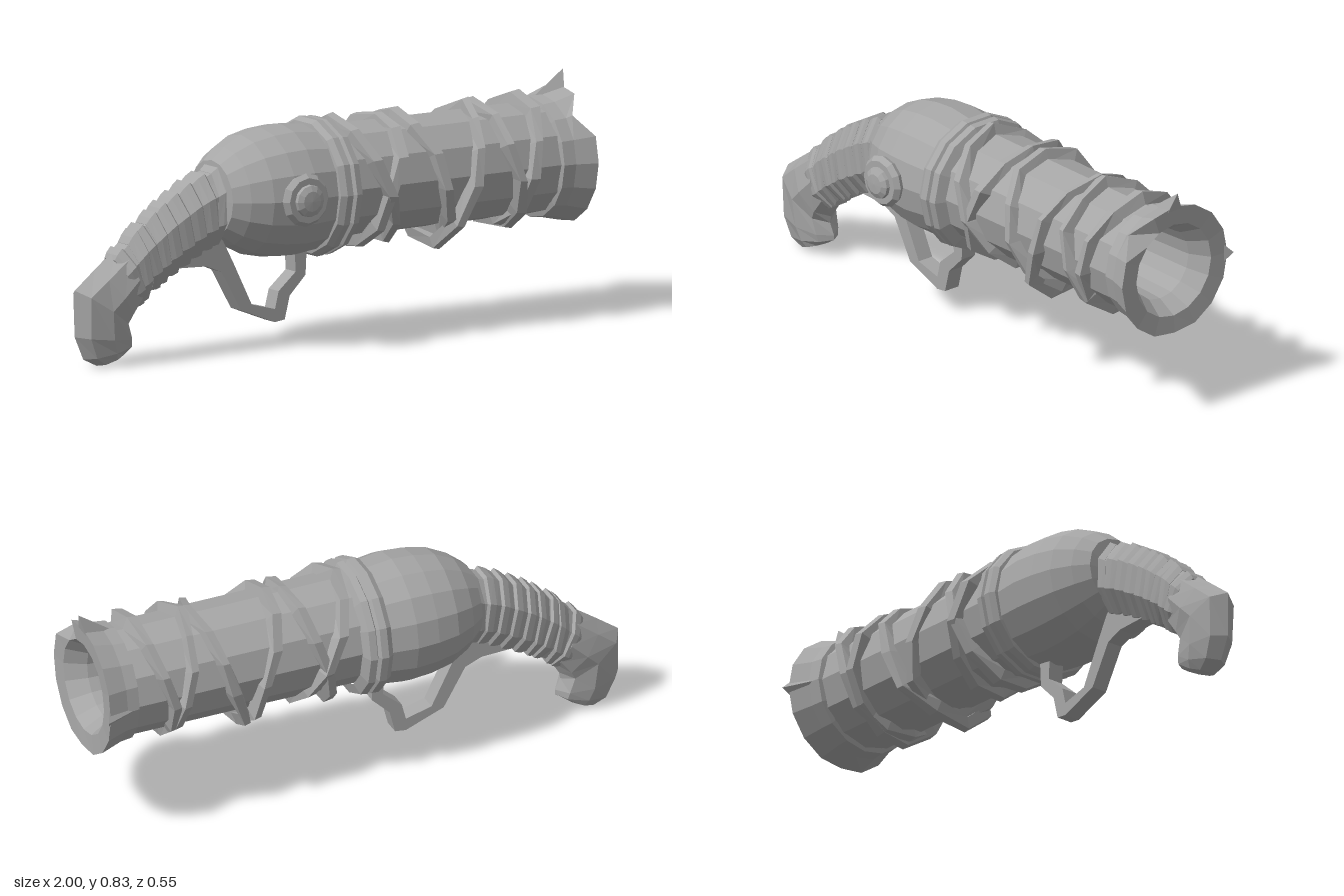
import * as THREE from 'three';

const AXIS_Y = 0.54, AXIS_Z = -0.02;
const V = (x, y, z) => new THREE.Vector3(x, y, z);

// small seeded noise in -1..1
let seed = 7;
const noise = () => {
  seed = (seed * 16807) % 2147483647;
  return (seed / 2147483647) * 2 - 1;
};

// solid skin over cross-sections; closed joins the last section to the first
function loft(sections, closed = false) {
  const n = sections[0].length, m = sections.length;
  const pts = sections.flat(), index = [];
  for (let i = 0; i < (closed ? m : m - 1); i++) {
    for (let j = 0; j < n; j++) {
      const k = (j + 1) % n, next = (i + 1) % m;
      const a = i * n + j, b = i * n + k, c = next * n + k, d = next * n + j;
      index.push(a, b, c, a, c, d);
    }
  }
  if (!closed) {
    const e = (m - 1) * n;
    for (let j = 1; j < n - 1; j++) index.push(0, j + 1, j, e, e + j, e + j + 1);
  }
  // turn the faces outward
  let volume = 0;
  for (let i = 0; i < index.length; i += 3) {
    volume += pts[index[i]].dot(pts[index[i + 1]].clone().cross(pts[index[i + 2]]));
  }
  if (volume < 0) index.reverse();
  const g = new THREE.BufferGeometry().setFromPoints(pts);
  g.setIndex(index);
  g.computeVertexNormals();
  return g;
}

// turned shape around the barrel axis, profile as [x, radius]
function turned(profile, sides) {
  const g = new THREE.LatheGeometry(profile.map(([x, r]) => new THREE.Vector2(r, x)), sides);
  return g.rotateZ(-Math.PI / 2).translate(0, AXIS_Y, AXIS_Z);
}

// eight-sided grip section between an upper and a lower point
function gripSection([tx, ty, bx, by, w], scale = 1, flat = true) {
  const k = scale * (flat ? 1 / Math.cos(Math.PI / 8) : 1);
  const out = [];
  for (let j = 0; j < 8; j++) {
    const a = (j + (flat ? 0.5 : 0)) * Math.PI / 4;
    const c = Math.cos(a) * k / 2, s = Math.sin(a) * k;
    out.push(V((tx + bx) / 2 + (tx - bx) * c, (ty + by) / 2 + (ty - by) * c, AXIS_Z + w * s));
  }
  return out;
}

export function createModel() {
  const root = new THREE.Group();
  const metal = new THREE.MeshStandardMaterial({ color: 0xa6a6a6, flatShading: true });
  const add = (name, geometry, parent = root) => {
    const mesh = new THREE.Mesh(geometry, metal);
    mesh.name = name;
    parent.add(mesh);
    return mesh;
  };
  const group = (name) => {
    const g = new THREE.Group();
    g.name = name;
    root.add(g);
    return g;
  };

  // barrel, chamber and collar
  add('barrel', turned([[0, 0.197], [0.45, 0.194], [0.9, 0.194]], 12));
  add('chamber', turned([[-0.45, 0], [-0.44, 0.13], [-0.39, 0.17], [-0.32, 0.205], [-0.24, 0.222],
    [-0.16, 0.228], [-0.05, 0.215], [-0.04, 0]], 16).translate(0, -0.008, 0));
  add('collar', turned([[-0.07, 0.2], [-0.065, 0.228], [-0.045, 0.24], [-0.02, 0.238], [-0.012, 0.222],
    [-0.004, 0.238], [0.02, 0.234], [0.035, 0.195]], 14).translate(0, -0.008, 0));

  // flared muzzle with a tapered bore and a notched rim
  const muzzle = turned([[0.86, 0.19], [0.865, 0.207], [0.91, 0.212], [0.985, 0.236], [0.98, 0.168],
    [0.91, 0.128], [0.88, 0.125], [0.6, 0.112], [0.59, 0]], 16);
  const p = muzzle.attributes.position;
  for (let i = 0; i < p.count; i++) {
    const y = p.getY(i) - AXIS_Y, z = p.getZ(i) - AXIS_Z;
    if (p.getX(i) < 0.97 || Math.hypot(y, z) < 0.2) continue;
    const angle = Math.atan2(z, y);
    const frontNotch = Math.abs(angle - Math.PI / 4) < 0.1;
    const lowNotch = Math.abs(angle) > 3.1;
    if (frontNotch) p.setX(i, 0.93);
    const k = frontNotch ? 0.95 : lowNotch ? 0.97 : 1;
    p.setY(i, AXIS_Y + y * k);
    p.setZ(i, AXIS_Z + z * k);
  }
  add('muzzle', muzzle);

  // thorns on the muzzle rim: [angle from top, tip radius]
  const thorns = group('muzzleThorns');
  for (const [a, tip] of [[0, 0.29], [-Math.PI / 2, 0.252]]) {
    const at = (x, r, side) => V(x, AXIS_Y + r * Math.cos(a) - side * Math.sin(a),
      AXIS_Z + r * Math.sin(a) + side * Math.cos(a));
    const apex = at(1, tip, 0);
    add('thorn', loft([[at(0.88, 0.205, 0), at(0.985, 0.222, 0.03), at(0.985, 0.222, -0.03)],
      [apex, apex.clone(), apex.clone()]]), thorns);
  }

  // crossing vines wrapped round the barrel: [x at top, x at bottom, extra bulge below]
  const vines = group('vines');
  const rings = [[0.06, 0.23, 0], [0.25, 0.11, 0.02], [0.3, 0.46, 0.02], [0.59, 0.43, 0.04],
    [0.63, 0.72, 0], [0.81, 0.69, 0]];
  for (const [top, bottom, bulge] of rings) {
    const sections = [], count = 11;
    for (let i = 0; i < count; i++) {
      const a = (i / count) * Math.PI * 2, c = Math.cos(a);
      const x = (top + bottom) / 2 + c * (top - bottom) / 2 + noise() * 0.014;
      const r = 0.226 + noise() * 0.012 + bulge * Math.max(0, -c);
      const w = 0.025 + noise() * 0.006;
      const at = (dx, rr) => V(x + dx, AXIS_Y + rr * c, AXIS_Z + rr * Math.sin(a));
      sections.push([at(-w, r - 0.045), at(-w * 0.7, r - 0.006), at(w * 0.5, r), at(w, r - 0.045)]);
    }
    add('vine', loft(sections, true), vines);
  }

  // curved grip: [top x, top y, bottom x, bottom y, half width]
  const keys = [[-0.42, 0.65, -0.42, 0.39, 0.095], [-0.55, 0.6, -0.52, 0.345, 0.09],
    [-0.66, 0.535, -0.63, 0.285, 0.085], [-0.76, 0.46, -0.7, 0.24, 0.08],
    [-0.86, 0.37, -0.77, 0.185, 0.08]];
  const along = (t) => {
    const s = Math.min(Math.max(t, 0), 0.9999) * (keys.length - 1), i = Math.floor(s);
    return keys[i].map((v, j) => v + (keys[i + 1][j] - v) * (s - i));
  };
  add('gripCore', loft(keys.map((k) => gripSection(k, 0.92))));

  // stepped, uneven wraps over the grip
  const wraps = group('gripWraps');
  const wrapCount = 9;
  for (let i = 0; i < wrapCount; i++) {
    const tilt = noise() * 0.03;
    const section = (t, scale) => {
      const hi = along(t + tilt), lo = along(t - tilt);
      return gripSection([hi[0], hi[1], lo[2], lo[3], hi[4]], scale);
    };
    add('wrap', loft([section(i / wrapCount, 0.93), section((i + 0.15) / wrapCount, 1.03),
      section((i + 0.6) / wrapCount, 1), section((i + 1) / wrapCount, 0.93)]), wraps);
  }

  // hooked butt at the end of the grip
  const butt = [[-0.83, 0.395, -0.75, 0.2, 0.085], [-0.92, 0.33, -0.78, 0.15, 0.085],
    [-1, 0.27, -0.785, 0.125, 0.077], [-1, 0.11, -0.765, 0.085, 0.07],
    [-0.965, 0.03, -0.765, 0.068, 0.06], [-0.91, 0.003, -0.8, 0.045, 0.045]];
  add('butt', loft(butt.map((k) => gripSection(k, 1, false))));

  // angular trigger guard
  const outline = [[-0.6, 0.31], [-0.48, 0.305], [-0.42, 0.28], [-0.34, 0.14], [-0.2, 0.085], [-0.16, 0.09],
    [-0.14, 0.17], [-0.075, 0.235], [-0.07, 0.33], [-0.12, 0.33], [-0.115, 0.25], [-0.185, 0.19],
    [-0.2, 0.13], [-0.295, 0.155], [-0.37, 0.305], [-0.42, 0.4], [-0.5, 0.4]];
  const guardShape = new THREE.Shape(outline.map(([x, y]) => new THREE.Vector2(x, y)));
  add('triggerGuard', new THREE.ExtrudeGeometry(guardShape, { depth: 0.06, bevelEnabled: false })
    .translate(0, 0, AXIS_Z - 0.03));

  // round knob on the front side
  const knobProfile = [[0, 0.14], [0.05, 0.14], [0.045, 0.212], [0.085, 0.216], [0.092, 0.232], [0.078, 0.25],
    [0.056, 0.25], [0.054, 0.262], [0.035, 0.272], [0, 0.274]];
  add('knob', new THREE.LatheGeometry(knobProfile.map(([r, z]) => new THREE.Vector2(r, z)), 12)
    .rotateX(Math.PI / 2).translate(-0.225, 0.54, 0));

  return root;
}
